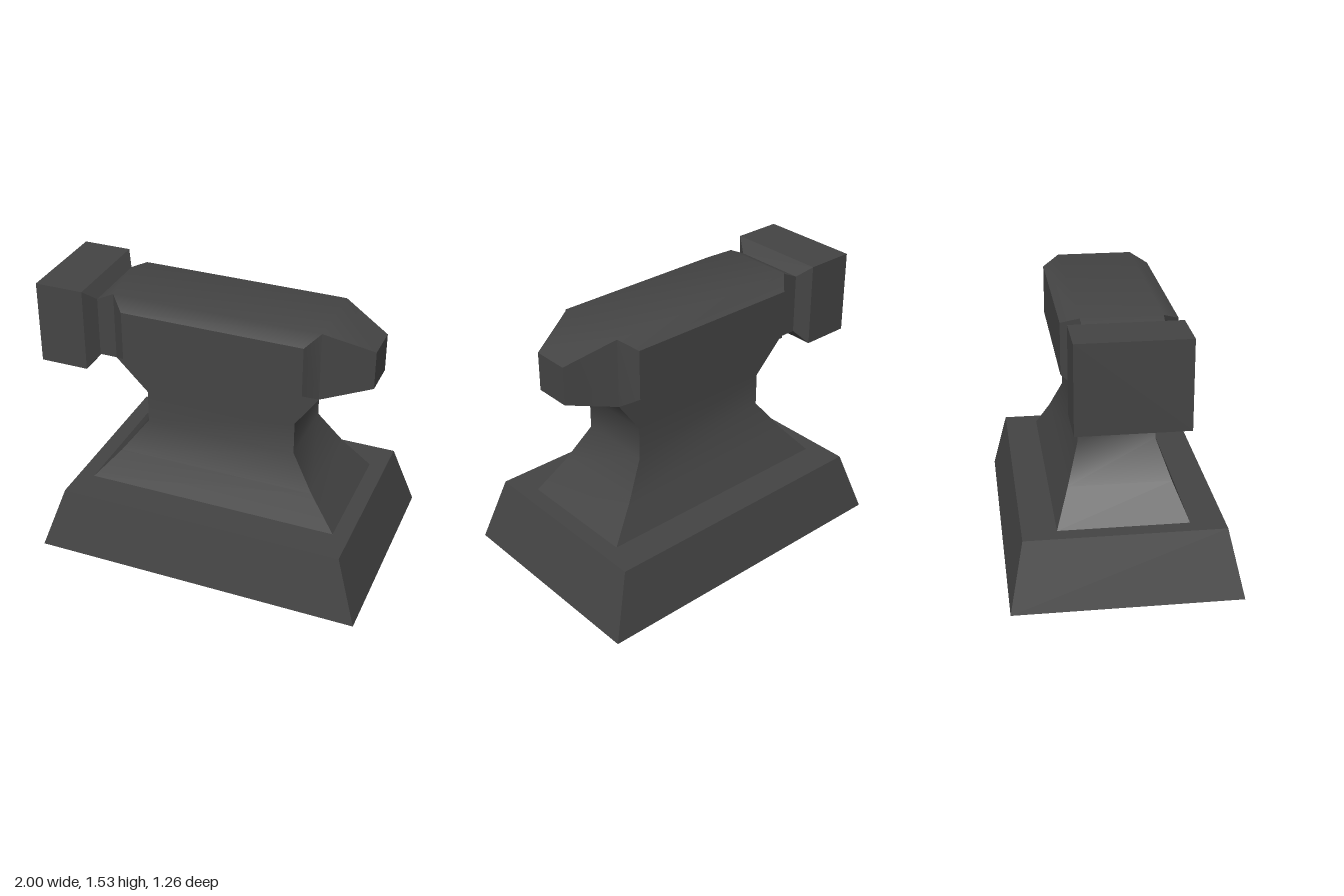
import * as THREE from 'three';
import { mergeGeometries, toCreasedNormals } from 'three/addons/utils/BufferGeometryUtils.js';

const iron = new THREE.MeshStandardMaterial({ color: 0x444444, side: THREE.DoubleSide });
iron.name = 'dark iron';

// Places (t along the axis, a and b across it) in x, y, z
const place = {
  x: (t, a, b) => [t, a, b], // a = y, b = z
  y: (t, a, b) => [b, t, a], // a = z, b = x
  z: (t, a, b) => [a, b, t], // a = x, b = y
};

// Joins rectangular sections [t, aMin, aMax, bMin, bMax] along an axis
function loft(axis, sections, capStart, capEnd) {
  const rings = sections.map(([t, a0, a1, b0, b1]) =>
    [[a0, b0], [a1, b0], [a1, b1], [a0, b1]].map(([a, b]) => place[axis](t, a, b)));
  const pos = [];
  const quad = (p, q, r, s) => pos.push(...p, ...q, ...r, ...p, ...r, ...s);
  for (let k = 0; k < rings.length - 1; k++) {
    for (let i = 0; i < 4; i++) {
      const j = (i + 1) % 4;
      quad(rings[k][i], rings[k][j], rings[k + 1][j], rings[k + 1][i]);
    }
  }
  if (capStart) quad(...[...rings[0]].reverse());
  if (capEnd) quad(...rings[rings.length - 1]);
  const g = new THREE.BufferGeometry();
  g.setAttribute('position', new THREE.Float32BufferAttribute(pos, 3));
  return g;
}

function part(name, geometry, creaseDegrees) {
  const mesh = new THREE.Mesh(toCreasedNormals(geometry, THREE.MathUtils.degToRad(creaseDegrees)), iron);
  mesh.name = name;
  return mesh;
}

export function createModel() {
  const group = new THREE.Group();
  group.name = 'anvil';

  // Hollow plinth, open underneath
  group.add(part('base', loft('y', [
    [0, -0.63, 0.63, -0.9, 1.0],
    [0.37, -0.55, 0.55, -0.775, 0.875],
  ], false, true), 40));

  // Waisted column, smooth up each side
  group.add(part('waist', loft('y', [
    [0.37, -0.36, 0.36, -0.685, 0.78],
    [0.55, -0.285, 0.285, -0.53, 0.625],
    [0.745, -0.215, 0.215, -0.385, 0.49],
    [0.935, -0.215, 0.215, -0.385, 0.49],
    [1.12, -0.215, 0.215, -0.57, 0.62],
  ], false, false), 60));

  // Heel block, neck, body and tapered horn in one run
  const core = loft('x', [
    [-1.0, 1.055, 1.535, -0.295, 0.295],
    [-0.72, 1.055, 1.535, -0.295, 0.295],
    [-0.67, 1.12, 1.465, -0.215, 0.215],
    [-0.57, 1.12, 1.515, -0.215, 0.215],
    [0.62, 1.12, 1.515, -0.215, 0.215],
    [0.885, 1.185, 1.405, -0.105, 0.105],
  ], true, true);

  // Bevelled cheeks on both sides of the body
  const inner = [-0.57, 0.62, 1.12, 1.515];
  const outer = [-0.48, 0.555, 1.18, 1.465];
  const frontCheek = loft('z', [[0.215, ...inner], [0.31, ...outer]], false, true);
  const backCheek = loft('z', [[-0.31, ...outer], [-0.215, ...inner]], true, false);
  group.add(part('head', mergeGeometries([core, frontCheek, backCheek]), 40));

  return group;
}
